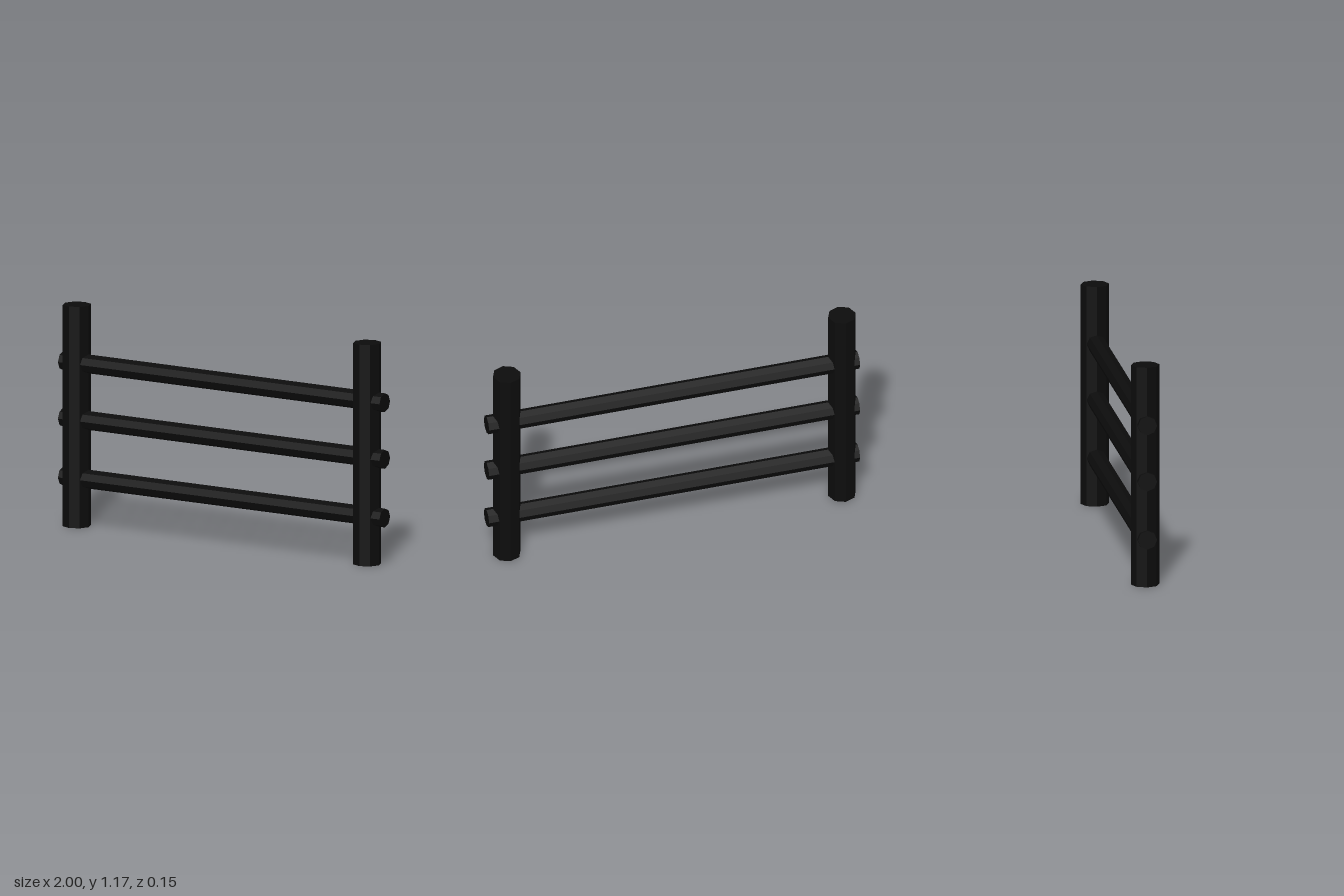
import * as THREE from 'three';

export function createModel() {
  const group = new THREE.Group();
  const blackWood = new THREE.MeshStandardMaterial({ color: 0x0c0c0c });
  blackWood.name = 'blackWood';
  blackWood.flatShading = true;

  // Eight-sided log with corners on its axes
  const addLog = (name, radius, length) => {
    const mesh = new THREE.Mesh(new THREE.CylinderGeometry(radius, radius, length, 8), blackWood);
    mesh.name = name;
    group.add(mesh);
    return mesh;
  };

  // Upright posts
  const postHeight = 1.17;
  for (const [name, x] of [['rightPost', -0.916], ['leftPost', 0.891]]) {
    addLog(name, 0.074, postHeight).position.set(x, postHeight / 2, 0);
  }

  // Horizontal rails passing through both posts
  for (const [name, y] of [['lowerRail', 0.254], ['middleRail', 0.564], ['upperRail', 0.863]]) {
    const rail = addLog(name, 0.05, 2);
    rail.rotation.z = Math.PI / 2;
    rail.position.y = y;
  }

  return group;
}
